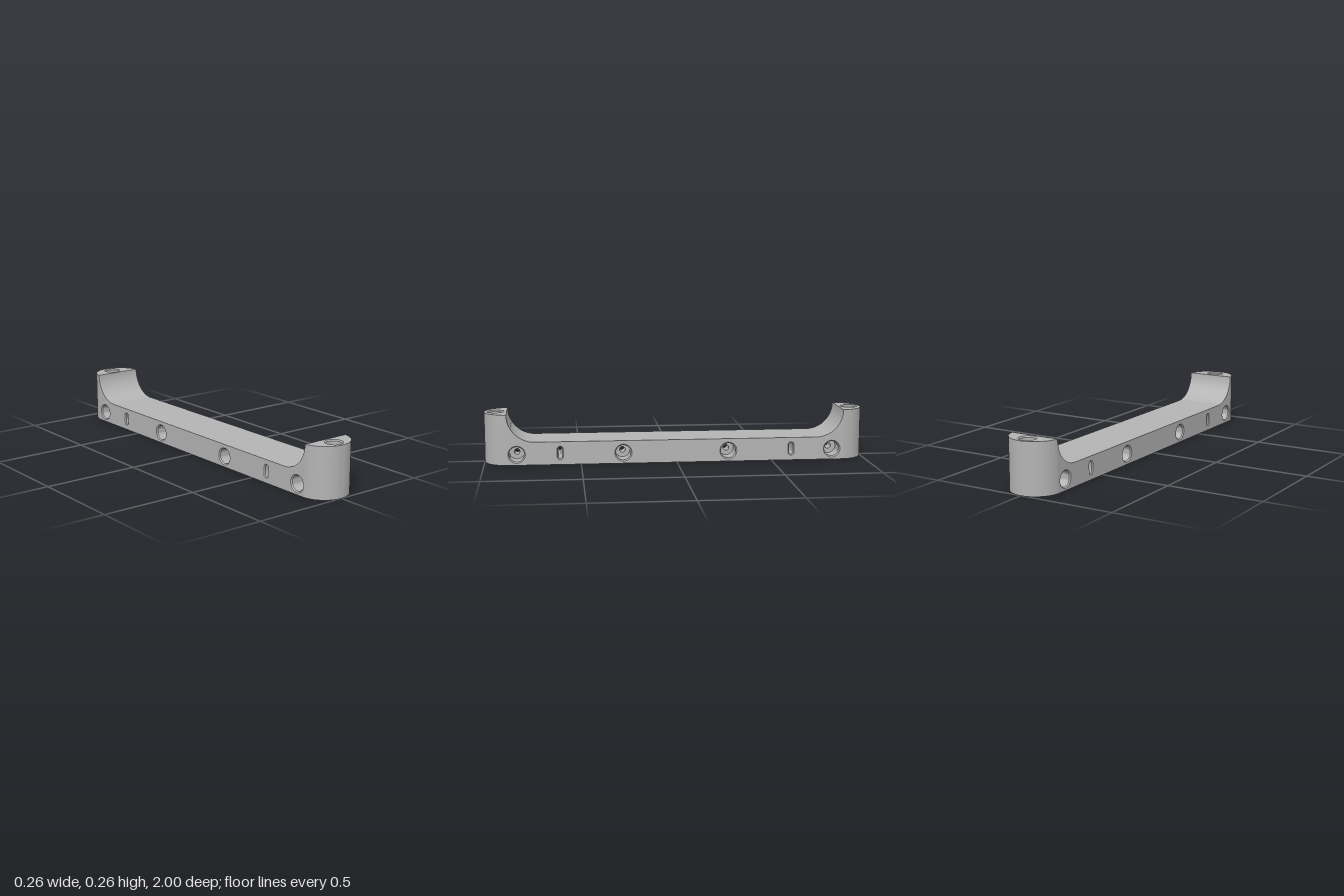
import * as THREE from 'three';
import { toCreasedNormals } from 'three/addons/utils/BufferGeometryUtils.js';

const W = 0.13;      // half width, also the radius of the rounded ends
const H = 0.263;     // height of the end posts
const DECK = 0.12;   // height of the middle bar
const STEP = 0.882;  // z where the posts begin
const FILLET = H - DECK;
const BORE_Z = 0.94; // vertical bores
const BORE_R = 0.045;
const SIDE_BORES = [0.832, 0.281, -0.27, -0.822];
const SLOTS = [0.608, -0.604];
const SLOT_R = 0.016, SLOT_H = 0.02;

// Surface through a row of cross-sections with equal point counts
function skin(rings, closed) {
  const n = rings[0].length, pos = rings.flat(2), index = [];
  for (let r = 0; r < rings.length - 1; r++) {
    for (let i = 0; i < (closed ? n : n - 1); i++) {
      const j = (i + 1) % n;
      const a = r * n + i, b = r * n + j, c = b + n, d = a + n;
      index.push(a, b, c, a, c, d);
    }
  }
  const g = new THREE.BufferGeometry();
  g.setAttribute('position', new THREE.Float32BufferAttribute(pos, 3));
  g.setIndex(index);
  return toCreasedNormals(g, 0.5);
}

// Circle, or upright slot when h > 0
function outline(r, h = 0, cx = 0, cy = 0, n = 40) {
  return Array.from({ length: n }, (_, i) => {
    const t = ((i + 0.5) / n) * Math.PI * 2;
    return new THREE.Vector2(cx + r * Math.cos(t), cy + r * Math.sin(t) + h * Math.sign(Math.sin(t)));
  });
}

// Inner wall of a through hole along z; steps are [radius, depth] from either mouth
function tunnel(length, steps, h = 0) {
  const half = steps.map(([r, d]) => [r, length / 2 - d]);
  const all = [...half, ...half.slice().reverse().map(([r, z]) => [r, -z])];
  return skin(all.map(([r, z]) => outline(r, h).map(p => [p.x, p.y, z])), true);
}

const boreSteps = depth => [[BORE_R, 0], [0.039, 0.006], [0.039, depth], [0.015, depth]];

export function createModel() {
  const grey = new THREE.MeshStandardMaterial({ color: 0xb4b4b4 });
  grey.name = 'grey';
  const model = new THREE.Group();
  model.name = 'mountingBar';
  const add = (name, geometry) => {
    const m = new THREE.Mesh(geometry, grey);
    m.name = name;
    model.add(m);
    return m;
  };

  // Rounded end, from -x to +x around the front
  const a0 = Math.asin((STEP - (1 - W)) / W);
  const arc = Array.from({ length: 41 }, (_, i) => {
    const t = Math.PI - a0 - (i / 40) * (Math.PI - 2 * a0);
    return new THREE.Vector2((W * Math.cos(t)) / Math.cos(a0), 1 - W + W * Math.sin(t));
  });

  // Upper profile from front to back: fillet, deck, fillet
  const curve = Array.from({ length: 19 }, (_, i) => {
    const t = (i / 18) * Math.PI / 2;
    return new THREE.Vector2(STEP - FILLET + FILLET * Math.cos(t), H - FILLET * Math.sin(t));
  });
  const profile = [...curve, ...curve.slice().reverse().map(p => new THREE.Vector2(-p.x, p.y))];
  add('deck', skin(profile.map(p => [[-W, p.y, p.x], [W, p.y, p.x]]), false));

  // Flat side walls pierced by bores and slots
  for (const s of [1, -1]) {
    const wall = new THREE.Shape([
      ...profile, new THREE.Vector2(-STEP, 0), new THREE.Vector2(STEP, 0)]);
    for (const z of SIDE_BORES) wall.holes.push(new THREE.Path(outline(BORE_R, 0, -s * z, 0.056)));
    for (const z of SLOTS) wall.holes.push(new THREE.Path(outline(SLOT_R, SLOT_H, -s * z, 0.061)));
    const g = new THREE.ShapeGeometry(wall);
    g.rotateY(s * Math.PI / 2);
    g.translate(s * W, 0, 0);
    add(s > 0 ? 'leftWall' : 'rightWall', g);
  }

  // Underside
  const base = new THREE.Shape([...arc, ...arc.map(p => new THREE.Vector2(-p.x, -p.y))]);
  for (const z of [BORE_Z, -BORE_Z]) base.holes.push(new THREE.Path(outline(BORE_R, 0, 0, z)));
  add('underside', new THREE.ShapeGeometry(base).rotateX(Math.PI / 2));

  // End posts: curved wall, top face and vertical bore
  const postWall = skin([0, H].map(y => arc.map(p => [p.x, y, p.y])), false);
  const top = new THREE.Shape(arc.map(p => new THREE.Vector2(p.x, -p.y)));
  top.holes.push(new THREE.Path(outline(BORE_R, 0, 0, -BORE_Z)));
  const postTop = new THREE.ShapeGeometry(top).rotateX(-Math.PI / 2).translate(0, H, 0);
  const postBore = tunnel(H, boreSteps(0.1)).rotateX(-Math.PI / 2).translate(0, H / 2, BORE_Z);
  for (const [end, turn] of [['front', 0], ['back', Math.PI]]) {
    add(end + 'PostWall', postWall).rotation.y = turn;
    add(end + 'PostTop', postTop).rotation.y = turn;
    add(end + 'PostBore', postBore).rotation.y = turn;
  }

  // Cross bores and slots
  const sideBore = tunnel(2 * W, boreSteps(0.09)).rotateY(Math.PI / 2);
  for (const z of SIDE_BORES) add('sideBore', sideBore).position.set(0, 0.056, z);
  const slot = tunnel(2 * W, [[SLOT_R, 0], [0.011, 0.005]], SLOT_H).rotateY(Math.PI / 2);
  for (const z of SLOTS) add('slot', slot).position.set(0, 0.061, z);

  return model;
}
